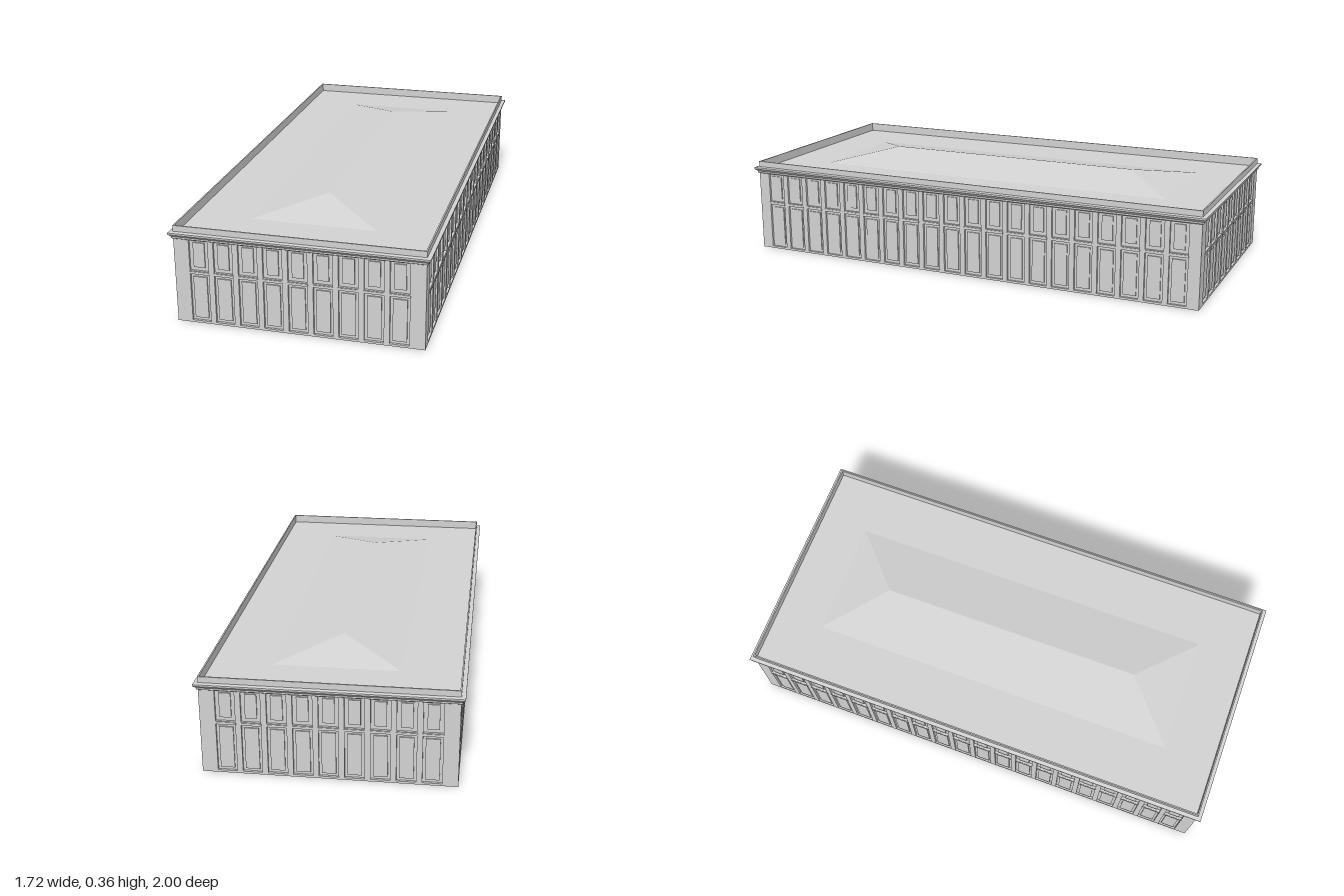
import * as THREE from 'three';
import { mergeGeometries } from 'three/addons/utils/BufferGeometryUtils.js';

const HX = 0.428, HZ = 0.889; // half width and half length of the walls
const BAY = 0.0855;
const DECK = 0.318;

const stone = new THREE.MeshStandardMaterial({ color: 0xd2d2d2, side: THREE.DoubleSide });
stone.name = 'paleGrey';

// Skin through concentric rectangles, each [halfX, halfZ, y]
function rectLoft(rings) {
  const signs = [[1, 1], [1, -1], [-1, -1], [-1, 1]];
  const pos = [];
  const pt = (r, k) => [signs[k % 4][0] * r[0], r[2], signs[k % 4][1] * r[1]];
  for (let i = 0; i < rings.length - 1; i++) {
    for (let k = 0; k < 4; k++) {
      const a = pt(rings[i], k), b = pt(rings[i], k + 1);
      const c = pt(rings[i + 1], k + 1), d = pt(rings[i + 1], k);
      pos.push(...a, ...b, ...c, ...a, ...c, ...d);
    }
  }
  const g = new THREE.BufferGeometry();
  g.setAttribute('position', new THREE.Float32BufferAttribute(pos, 3));
  g.computeVertexNormals();
  return g;
}

function add(parent, geometry, name) {
  const mesh = new THREE.Mesh(geometry, stone);
  mesh.name = name;
  parent.add(mesh);
  return mesh;
}

function rectHole(x, w, y0, y1) {
  const p = new THREE.Path();
  p.moveTo(x - w / 2, y0);
  p.lineTo(x - w / 2, y1);
  p.lineTo(x + w / 2, y1);
  p.lineTo(x + w / 2, y0);
  p.closePath();
  return p;
}

function box(x, w, y0, y1, z0, z1) {
  return new THREE.BoxGeometry(w, y1 - y0, z1 - z0).translate(x, (y0 + y1) / 2, (z0 + z1) / 2);
}

// One wall with its outer face on z = 0, facing +z
function facade(half, bays) {
  const wall = new THREE.Group();
  wall.name = 'facade';
  const top = 0.31;
  const shape = new THREE.Shape();
  shape.moveTo(-half, 0);
  shape.lineTo(half, 0);
  shape.lineTo(half, top);
  shape.lineTo(-half, top);
  shape.closePath();

  const windows = [], sills = [];
  for (let i = 0; i < bays; i++) {
    const x = (i - (bays - 1) / 2) * BAY;
    shape.holes.push(rectHole(x, 0.066, 0.008, 0.18), rectHole(x, 0.066, 0.192, 0.302));
    // framed windows on the recessed wall, and a ledge between the floors
    windows.push(box(x, 0.048, 0.018, 0.17, -0.0085, -0.004));
    windows.push(box(x, 0.04, 0.205, 0.294, -0.0085, -0.004));
    sills.push(box(x, 0.07, 0.182, 0.19, -0.002, 0.002));
  }
  const piers = new THREE.ExtrudeGeometry(shape, { depth: 0.009, bevelEnabled: false });
  add(wall, piers.translate(0, 0, -0.009), 'wallPiers');
  add(wall, new THREE.PlaneGeometry(half * 2 - 0.016, top).translate(0, top / 2, -0.0085), 'recessedWall');
  add(wall, mergeGeometries(windows), 'windows');
  add(wall, mergeGeometries(sills), 'floorLedges');
  return wall;
}

export function createModel() {
  const model = new THREE.Group();
  model.name = 'building';
  const body = new THREE.Group();
  body.name = 'buildingBody';
  body.rotation.y = -0.567;
  model.add(body);

  // Four walls: short ends at +-z, long sides at +-x
  for (let k = 0; k < 4; k++) {
    const long = k % 2 === 1;
    const wall = long ? facade(HZ, 20) : facade(HX, 9);
    const angle = k * Math.PI / 2, reach = long ? HX : HZ;
    wall.rotation.y = angle;
    wall.position.set(Math.sin(angle) * reach, 0, Math.cos(angle) * reach);
    body.add(wall);
  }

  // Stepped cornice rising into the parapet; pairs are outward offset and height
  const profile = [[0, 0.303], [0.005, 0.306], [0.005, 0.312], [0.014, 0.321], [0.014, 0.327],
    [0, 0.329], [0, 0.35], [-0.005, 0.35], [-0.005, DECK]];
  add(body, rectLoft(profile.map(([o, y]) => [HX + o, HZ + o, y])), 'corniceAndParapet');

  // Flat roof around a low hipped centre, open underneath
  add(body, rectLoft([[HX - 0.005, HZ - 0.005, DECK], [0.22, 0.7, DECK]]), 'roofDeck');
  add(body, rectLoft([[0.22, 0.7, DECK], [0, 0.5, 0.36]]), 'hippedRoof');
  return model;
}
